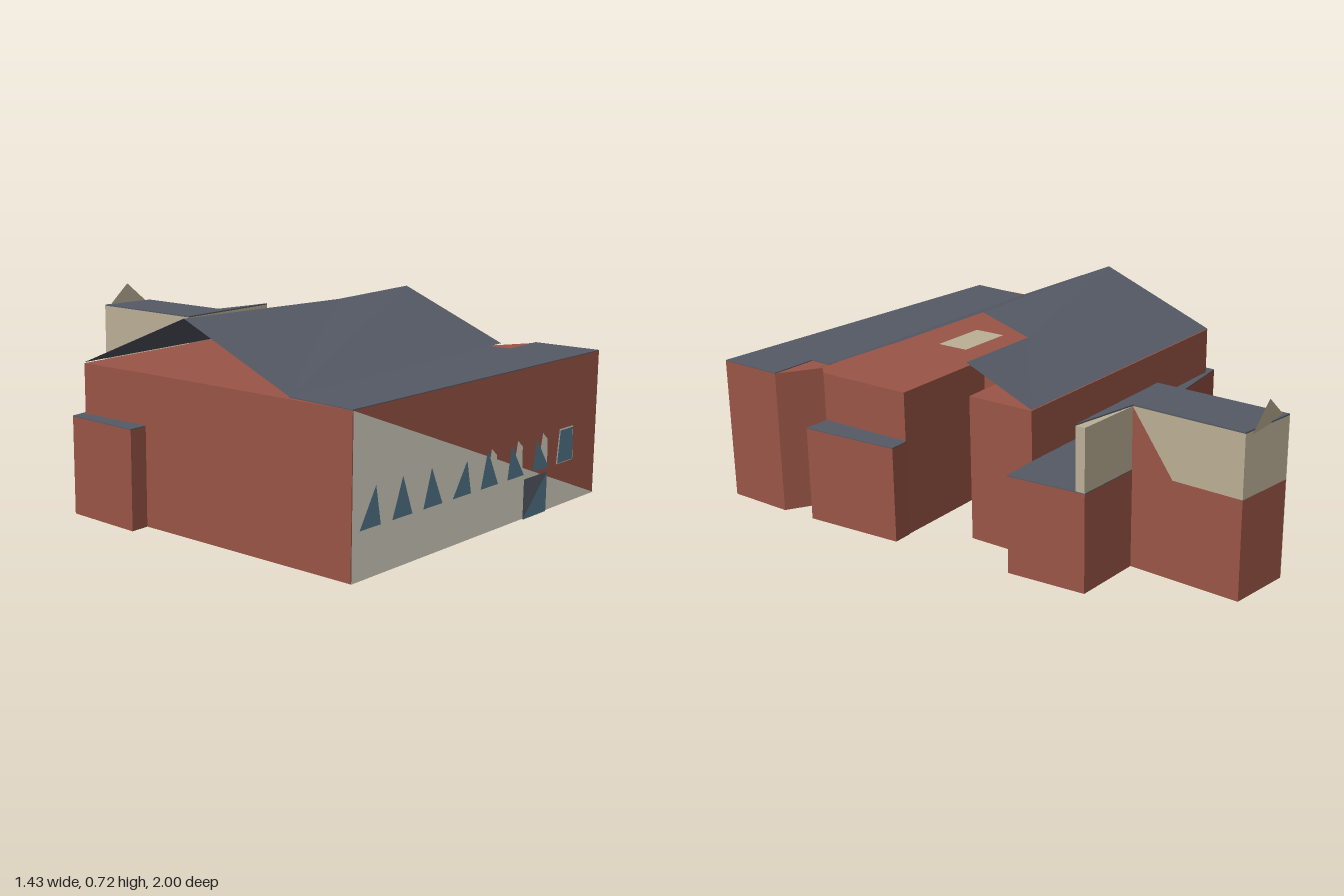
import * as THREE from 'three';

const mat = (name, color) => {
  const m = new THREE.MeshStandardMaterial({ color, side: THREE.DoubleSide });
  m.name = name;
  return m;
};

export function createModel() {
  const model = new THREE.Group();
  model.name = 'building';
  const brick = mat('red brick', 0x9a5546);
  const slate = mat('slate roof', 0x555a66);
  const cream = mat('cream render', 0xd6d1c4);
  const tan = mat('tan cladding', 0xbcb096);
  const glass = mat('teal glass', 0x52788a);

  const add = (name, geometry, material) => {
    const mesh = new THREE.Mesh(geometry, material);
    mesh.name = name;
    model.add(mesh);
  };

  // upright prism over a plan outline of [x, z] corners
  const prism = (name, plan, y0, y1, material) => {
    const shape = new THREE.Shape(plan.map(([x, z]) => new THREE.Vector2(x, -z)));
    const g = new THREE.ExtrudeGeometry(shape, { depth: y1 - y0, bevelEnabled: false });
    g.rotateX(-Math.PI / 2).translate(0, y0, 0);
    add(name, g, material);
  };

  // brick block with a thin slate cap
  const block = (name, plan, height) => {
    prism(name, plan, 0, height - 0.003, brick);
    prism(name + 'Roof', plan, height - 0.003, height, slate);
  };

  // flat face fanned from its first corner
  const face = (name, corners, material) => {
    const g = new THREE.BufferGeometry();
    const p = [];
    for (let i = 1; i < corners.length - 1; i++) p.push(...corners[0], ...corners[i], ...corners[i + 1]);
    g.setAttribute('position', new THREE.Float32BufferAttribute(p, 3));
    g.computeVertexNormals();
    add(name, g, material);
  };

  // face lying just in front of the slightly skewed front wall
  const onFront = (name, points, offset, material) =>
    face(name, points.map(([x, y]) => [x, y, 0.905 + (x + 0.675) * 0.0645 + offset]), material);

  // main hall with the side court left open
  prism('mainHall', [
    [-0.675, 0.905], [0.71, 0.994], [0.715, 0.735], [0.57, 0.645], [0.61, 0.6], [0.61, 0.225],
    [0.16, 0.23], [0.16, 0.03], [0.51, 0.02], [0.51, -0.24], [-0.65, -0.25], [-0.65, 0.04],
  ], 0, 0.527, brick);

  // flat roof along the front
  prism('frontRoof', [
    [-0.675, 0.905], [0.71, 0.994], [0.715, 0.735], [0.53, 0.735], [0.53, 0.65], [-0.65, 0.65],
  ], 0.527, 0.53, slate);

  // pitched roof, open at both gables and cut back over the court
  const west = [-0.63, 0.722, 0.2], mid = [0.16, 0.706, 0.23], east = [0.61, 0.711, 0.225];
  face('frontSlope', [[-0.65, 0.53, 0.65], [0.61, 0.53, 0.65], east, mid, west], slate);
  face('rearSlope', [
    [0.16, 0.645, 0.03], [0.51, 0.645, 0.03], [0.51, 0.53, -0.24], [-0.65, 0.53, -0.25], west, mid,
  ], slate);
  face('courtLedge', [[0.16, 0.635, 0.14], [0.16, 0.635, 0.26], [0.375, 0.635, 0.26], [0.375, 0.635, 0.14]], tan);

  // low wings
  block('eastWing', [[0.61, 0.6], [0.71, 0.6], [0.685, 0.22], [0.61, 0.222]], 0.35);
  block('westWing', [[-0.72, 0.04], [-0.65, 0.04], [-0.65, -0.25], [-0.7, -0.26]], 0.35);
  block('rearWing', [
    [-0.7, -0.26], [-0.65, -0.25], [0.51, -0.24], [0.655, -0.245], [0.635, -0.535],
    [0.38, -0.55], [0.145, -0.5], [0.14, -0.31], [-0.23, -0.305],
  ], 0.35);

  // rear tower: brick base, tan upper storey, slate roof
  prism('towerBase', [[0.147, -0.5], [0.38, -0.5], [0.38, -0.55], [0.4, -0.965], [0.17, -1]], 0, 0.35, brick);
  prism('towerUpper', [
    [0.147, -0.5], [0.636, -0.5], [0.636, -0.535], [0.38, -0.55], [0.4, -0.965], [0.17, -1],
  ], 0.35, 0.57, tan);
  prism('towerRoof', [[0.147, -0.5], [0.636, -0.5], [0.38, -0.55], [0.4, -0.965], [0.17, -1]], 0.57, 0.575, slate);
  face('towerWestCladding', [[0.144, 0, -0.5], [0.144, 0.57, -0.5], [0.167, 0.57, -1], [0.167, 0, -1]], tan);
  face('towerBrickCorner', [[0.383, 0.57, -0.55], [0.383, 0.35, -0.55], [0.391, 0.35, -0.71]], brick);
  face('towerPeak', [[0.18, 0.57, -0.985], [0.395, 0.57, -0.985], [0.285, 0.655, -0.985]], tan);

  // front wall: sloping cream panel and entrance
  onFront('creamPanel', [[-0.675, 0], [0.71, 0], [-0.675, 0.527]], 0.003, cream);
  onFront('doorGlass', [[0.23, 0], [0.375, 0], [0.375, 0.143]], 0.01, glass);
  onFront('doorShade', [[0.23, 0], [0.375, 0.143], [0.23, 0.143]], 0.01, slate);

  // windows: left foot of each pane, with the apex measured from it
  const apexes = [[0.075, 0.285], [0.05, 0.288], [0.04, 0.285], [0.075, 0.272],
    [0.035, 0.285], [0.02, 0.275], [0.02, 0.27]];
  apexes.forEach(([dx, y], i) => {
    const x = -0.645 + i * 0.1555;
    onFront('window', [[x, 0.158], [x + 0.1, 0.158], [x + dx, y]], 0.007, glass);
    if (i > 3) onFront('windowSurround', [[x + 0.045, 0.215], [x + 0.095, 0.158], [x + 0.09, 0.26], [x + 0.06, 0.285]], 0.005, cream);
  });
  onFront('windowSurround', [[0.44, 0.155], [0.55, 0.155], [0.544, 0.28], [0.456, 0.28]], 0.005, cream);
  onFront('window', [[0.445, 0.158], [0.545, 0.158], [0.54, 0.275], [0.46, 0.275]], 0.007, glass);

  return model;
}
